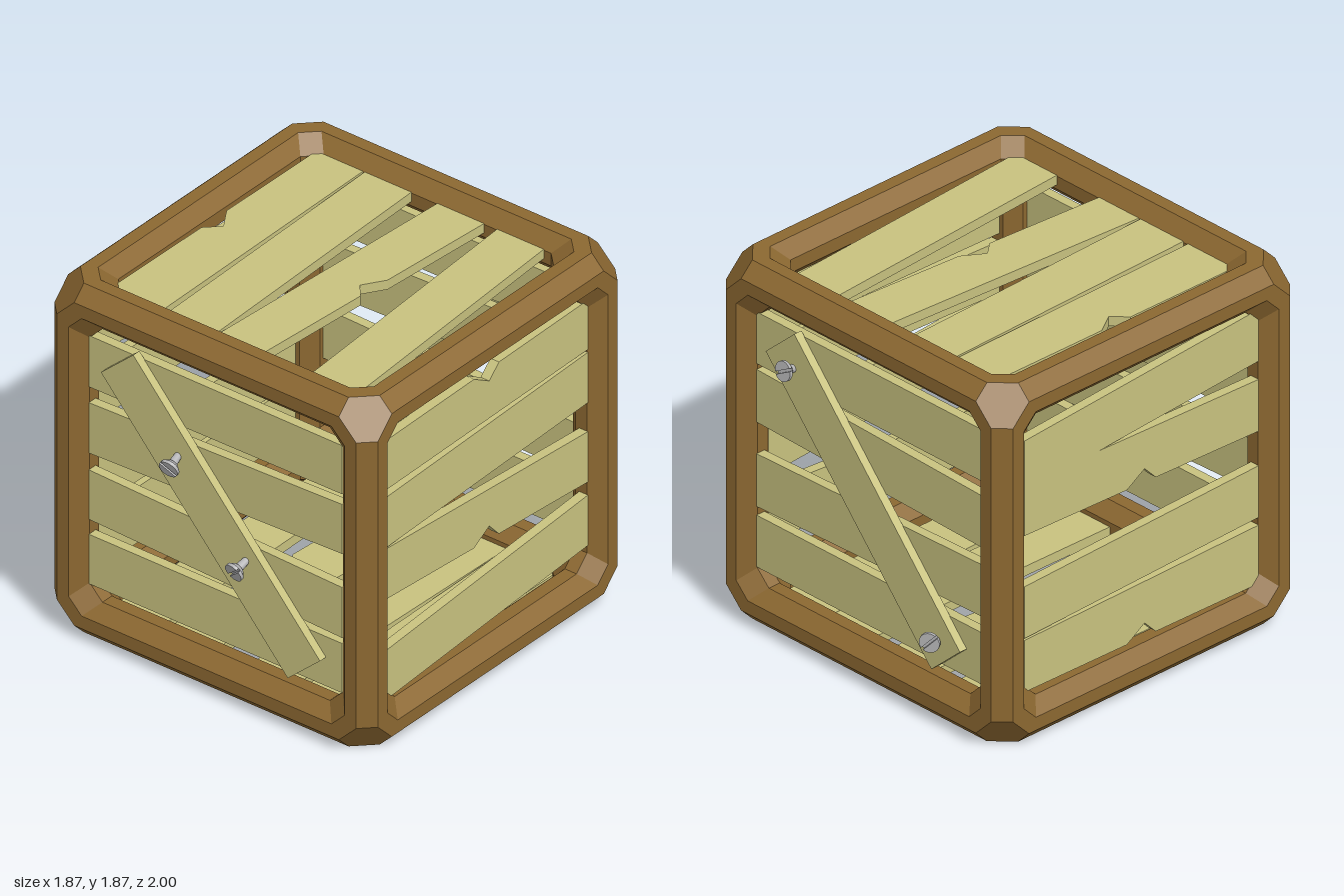
import * as THREE from 'three';

const mat = (name, color) => {
  const m = new THREE.MeshStandardMaterial({ color });
  m.name = name;
  return m;
};
const V = (x, y, z) => new THREE.Vector3(x, y, z);

// Six sides: u runs along the planks, v across them, n points outwards
const SIDES = {
  front: [V(1, 0, 0), V(0, 1, 0), V(0, 0, 1)],
  back: [V(-1, 0, 0), V(0, 1, 0), V(0, 0, -1)],
  right: [V(0, 0, -1), V(0, 1, 0), V(1, 0, 0)],
  left: [V(0, 0, 1), V(0, 1, 0), V(-1, 0, 0)],
  top: [V(0, 0, 1), V(1, 0, 0), V(0, 1, 0)],
  bottom: [V(0, 0, -1), V(1, 0, 0), V(0, -1, 0)],
};

// Octagonal-section frame: nested octagon rings per side, joined by bevels and corner facets
function frameGeometry() {
  const pos = [];
  const tri = (a, b, c) => pos.push(...a.toArray(), ...b.toArray(), ...c.toArray());
  const quad = (a, b, c, d) => { tri(a, b, c); tri(a, c, d); };
  // fan a flat polygon, facing away from (sign 1) or towards (sign -1) the centre
  const facet = (pts, sign) => {
    const n = pts[1].clone().sub(pts[0]).cross(pts[2].clone().sub(pts[0]));
    const p = n.dot(pts[0]) * sign > 0 ? pts : [...pts].reverse();
    for (let i = 1; i < p.length - 1; i++) tri(p[0], p[i], p[i + 1]);
  };
  // half size, size where the corner cut starts, depth
  const rings = [[0.865, 0.765, 0.935], [0.797, 0.722, 0.935], [0.732, 0.657, 0.865], [0.732, 0.657, 0.797]];
  for (const [u, v, n] of Object.values(SIDES)) {
    const loops = rings.map(([h, c, d]) =>
      [[h, -c], [h, c], [c, h], [-c, h], [-h, c], [-h, -c], [-c, -h], [c, -h]].map(([a, b]) =>
        V(0, 0, 0).addScaledVector(u, a).addScaledVector(v, b).addScaledVector(n, d)));
    for (let r = 0; r < 3; r++) {
      for (let i = 0; i < 8; i++) {
        const j = (i + 1) % 8;
        quad(loops[r][i], loops[r][j], loops[r + 1][j], loops[r + 1][i]);
      }
    }
  }
  // outer and inner bevels along the 12 edges, and hexagons at the 8 corners
  for (const [a, b, c, sign] of [[0.765, 0.865, 0.935, 1], [0.657, 0.732, 0.797, -1]]) {
    for (const s of [-1, 1]) {
      for (const t of [-1, 1]) {
        for (let axis = 0; axis < 3; axis++) {
          const put = (p, q, r) => {
            const e = [0, 0, 0];
            e[axis] = p; e[(axis + 1) % 3] = q * s; e[(axis + 2) % 3] = r * t;
            return V(...e);
          };
          facet([put(-a, b, c), put(a, b, c), put(a, c, b), put(-a, c, b)], sign);
        }
        for (const w of [-1, 1]) {
          const hex = [[a, c, b], [a, b, c], [b, a, c], [c, a, b], [c, b, a], [b, c, a]];
          facet(hex.map(([x, y, z]) => V(x * s, y * t, z * w)), sign);
        }
      }
    }
  }
  const g = new THREE.BufferGeometry();
  g.setAttribute('position', new THREE.Float32BufferAttribute(pos, 3));
  g.computeVertexNormals();
  return g;
}

// Plank edges across each side: [low start, low end, high start, high end, notched edge]
const PLANKS = {
  front: [[0.395, 0.405, 0.67, 0.665], [0.04, 0.085, 0.31, 0.35], [-0.315, -0.365, -0.05, -0.095], [-0.66, -0.66, -0.395, -0.395]],
  back: [[0.41, 0.41, 0.68, 0.68], [0.105, 0.065, 0.38, 0.335], [-0.335, -0.295, -0.06, -0.025], [-0.65, -0.65, -0.38, -0.38]],
  right: [[0.41, 0.435, 0.675, 0.7, 'high'], [0.1, 0.15, 0.37, 0.42], [-0.175, -0.275, 0.095, -0.005, 'low'], [-0.715, -0.615, -0.45, -0.345]],
  left: [[0.35, 0.45, 0.62, 0.72], [0.125, 0.085, 0.395, 0.355, 'low'], [-0.41, -0.365, -0.14, -0.095], [-0.69, -0.71, -0.42, -0.405, 'low']],
  top: [[-0.7, -0.71, -0.43, -0.41, 'low'], [-0.42, -0.38, -0.15, -0.1], [0, -0.09, 0.27, 0.17, 'high'], [0.345, 0.445, 0.615, 0.715]],
  bottom: [[-0.69, -0.67, -0.41, -0.42], [-0.38, -0.28, -0.1, 0, 'low'], [0.1, 0.12, 0.37, 0.4], [0.41, 0.4, 0.7, 0.7, 'high']],
};

function plankGeometry([l0, l1, h0, h1, notch]) {
  const L = 0.732;
  const at = (a, b, u) => a + (b - a) * (u + L) / (2 * L);
  const pts = [[-L, l0]];
  if (notch === 'low') pts.push([-0.09, at(l0, l1, -0.09)], [0.02, at(l0, l1, 0) + 0.07], [0.09, at(l0, l1, 0.09)]);
  pts.push([L, l1], [L, h1]);
  if (notch === 'high') pts.push([0.09, at(h0, h1, 0.09)], [0.02, at(h0, h1, 0) - 0.065], [-0.09, at(h0, h1, -0.09)]);
  pts.push([-L, h0]);
  const shape = new THREE.Shape(pts.map(p => new THREE.Vector2(...p)));
  return new THREE.ExtrudeGeometry(shape, { depth: 0.05, bevelEnabled: false }).translate(0, 0, 0.82);
}

export function createModel() {
  const frameWood = mat('dark frame wood', 0x8c6831);
  const plankWood = mat('pale plank wood', 0xc8c27f);
  const metal = mat('screw metal', 0xb4b4b6);
  const model = new THREE.Group();
  const add = (parent, name, geometry, material) => {
    const m = new THREE.Mesh(geometry, material);
    m.name = name;
    parent.add(m);
    return m;
  };

  // Slotted screw, head top at local z = 0
  const half = new THREE.Shape();
  half.absarc(0, 0, 0.049, 0.14, Math.PI - 0.14, false);
  const halfGeo = new THREE.ExtrudeGeometry(half, { depth: 0.016, bevelEnabled: false, curveSegments: 10 });
  function screw(parent, [x, y, z, rx, ry, slot]) {
    const s = new THREE.Group();
    s.name = 'screw';
    s.position.set(x, y, z);
    s.rotation.set(rx, ry, slot);
    for (const a of [0, Math.PI]) {
      add(s, 'screwHeadHalf', halfGeo.clone().translate(0, 0, -0.016).rotateZ(a), metal);
    }
    add(s, 'screwHeadBase', new THREE.CylinderGeometry(0.049, 0.03, 0.02, 20).rotateX(Math.PI / 2).translate(0, 0, -0.026), metal);
    add(s, 'screwShank', new THREE.CylinderGeometry(0.022, 0.014, 0.11, 12).rotateX(Math.PI / 2).translate(0, 0, -0.09), metal);
    parent.add(s);
  }

  const crate = new THREE.Group();
  crate.name = 'crate';
  crate.position.set(0, 0.935, -0.012);
  model.add(crate);
  add(crate, 'frame', frameGeometry(), frameWood);

  const SCREWS = {
    front: [[-0.175, 0.235, 0.993, 0.35, 0.1, -0.75], [0.2, -0.17, 0.993, 0.35, -0.1, 0.75]],
    back: [[-0.45, 0.53, 0.978, -0.15, 0, 0.5], [0.49, -0.5, 0.963, 0, 0.5, 0.8]],
  };
  for (const [side, basis] of Object.entries(SIDES)) {
    const g = new THREE.Group();
    g.name = side + 'Side';
    g.setRotationFromMatrix(new THREE.Matrix4().makeBasis(...basis));
    PLANKS[side].forEach(p => add(g, 'plank', plankGeometry(p), plankWood));
    // diagonal brace with two screws on the front and back
    if (SCREWS[side]) {
      const brace = add(g, 'diagonalBrace', new THREE.BoxGeometry(1.62, 0.25, 0.045), plankWood);
      brace.position.set(0.005, 0.015, 0.89);
      brace.rotation.z = -0.841;
      SCREWS[side].forEach(s => screw(g, s));
    }
    crate.add(g);
  }
  return model;
}
